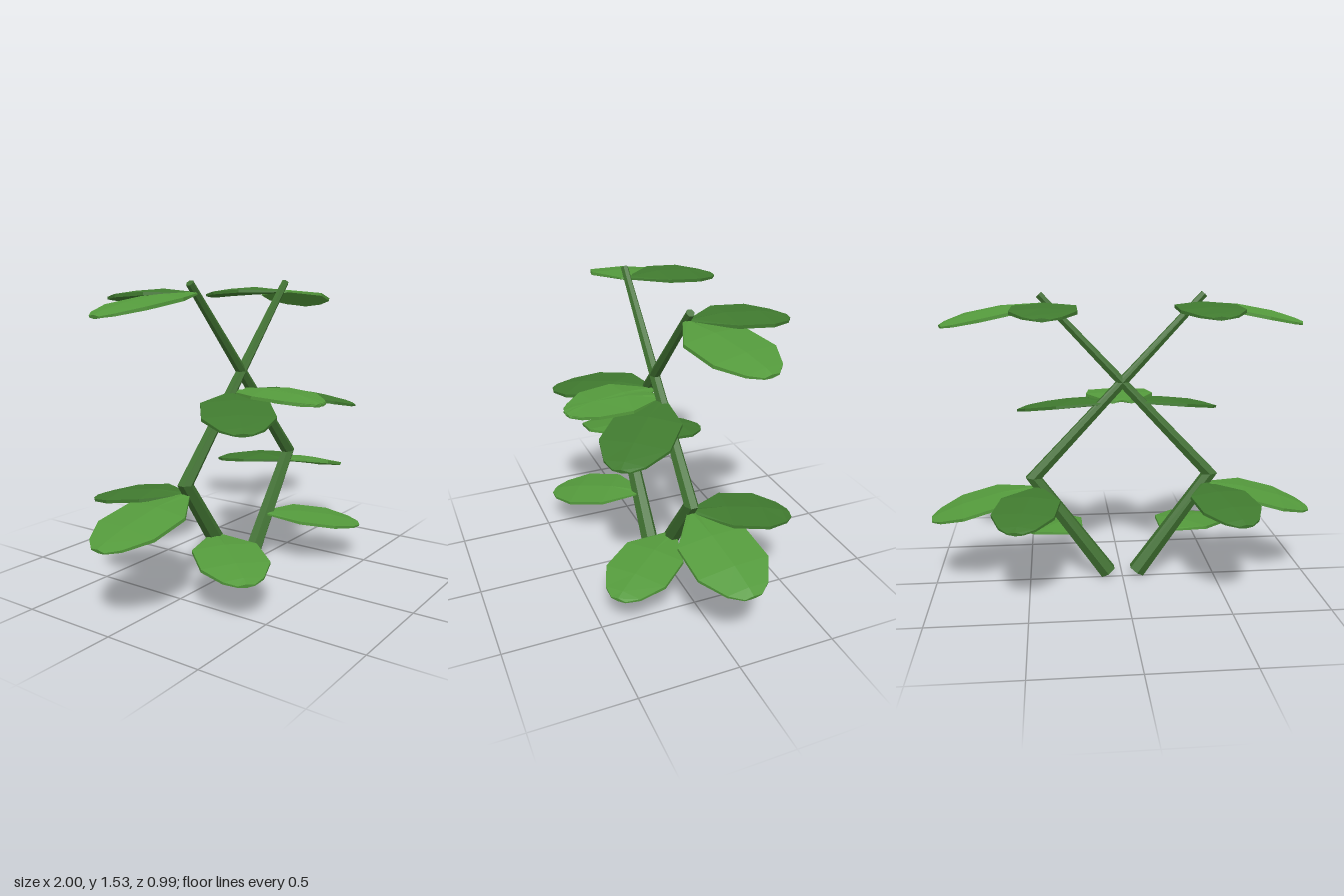
import * as THREE from 'three';

const V = (x, y, z) => new THREE.Vector3(x, y, z);
const green = (color) => new THREE.MeshStandardMaterial({ color, flatShading: true });

// Skin a closed, capped surface over equal-sized rings of points
function loft(rings) {
  const pos = [];
  const tri = (...pts) => pts.forEach((p) => pos.push(p.x, p.y, p.z));
  const n = rings[0].length;
  for (let i = 0; i < rings.length - 1; i++) {
    for (let j = 0; j < n; j++) {
      const k = (j + 1) % n;
      const [a, b, c, d] = [rings[i][j], rings[i][k], rings[i + 1][k], rings[i + 1][j]];
      tri(a, b, c);
      tri(a, c, d);
    }
  }
  const first = rings[0], last = rings[rings.length - 1];
  for (let j = 1; j < n - 1; j++) {
    tri(first[0], first[j + 1], first[j]);
    tri(last[0], last[j], last[j + 1]);
  }
  const geo = new THREE.BufferGeometry();
  geo.setAttribute('position', new THREE.Float32BufferAttribute(pos, 3));
  geo.computeVertexNormals();
  return geo;
}

// Six-sided tapering stem, bent once, with a mitred joint
function stemGeometry(side) {
  const points = [[0.078, 0.032, 0.048], [0.468, 0.58, 0.036], [-0.418, 1.53, 0.02]]
    .map(([x, y, r]) => ({ p: V(side * x, y, 0.016), r }));
  const dirs = [0, 1].map((i) => points[i + 1].p.clone().sub(points[i].p).normalize());
  const tangents = [dirs[0], dirs[0].clone().add(dirs[1]).normalize(), dirs[1]];
  const zAxis = V(0, 0, 1);
  return loft(points.map(({ p, r }, i) => {
    const u = zAxis.clone().cross(tangents[i]);
    const miter = i === 1 ? 1 / tangents[1].dot(dirs[0]) : 1;
    return Array.from({ length: 6 }, (_, j) => {
      const a = Math.PI / 6 + (j * Math.PI) / 3;
      return p.clone().addScaledVector(u, Math.cos(a) * r * miter).addScaledVector(zAxis, Math.sin(a) * r);
    });
  }));
}

// Faceted leaf: [position along leaf, share of width, thickness scale]
const LEAF = [[0, 0.14, 0.5], [0.34, 0.97, 1], [0.7, 1, 1], [0.92, 0.58, 0.75], [1, 0.24, 0.45]];
function leafGeometry(base, tip, width) {
  const d = tip.clone().sub(base).normalize();
  const u = V(0, 1, 0).cross(d).normalize();
  const v = d.clone().cross(u);
  return loft(LEAF.map(([t, w, h]) => {
    const c = base.clone().lerp(tip, t).addScaledVector(v, 0.014 * Math.sin(Math.PI * t));
    const half = (w * width) / 2;
    const section = [[1, -0.008], [1, 0.008], [0, 0.021], [-1, 0.008], [-1, -0.008], [0, -0.021]];
    return section.map(([x, y]) => c.clone().addScaledVector(u, x * half).addScaledVector(v, y * h));
  }));
}

export function createModel() {
  const group = new THREE.Group();
  group.name = 'crossedStemPlant';
  const stemMat = green(0x3f7030);
  const light = green(0x549a3c);
  const dark = green(0x407a2f);

  // Leaves on the +x side: name, base, tip, width, material
  const leaves = [
    ['topBackLeaf', [0.385, 1.48, 0], [0.4, 1.45, -0.48], 0.315, dark],
    ['topOuterLeaf', [0.39, 1.48, 0.02], [0.89, 1.39, -0.13], 0.36, light],
    ['middleOuterLeaf', [0.08, 0.975, 0.01], [0.525, 0.875, 0.39], 0.35, dark],
    ['middleFrontLeaf', [0.05, 0.98, 0.01], [-0.02, 0.95, 0.488], 0.32, light],
    ['bendBackLeaf', [0.445, 0.525, 0], [0.55, 0.46, -0.49], 0.315, dark],
    ['bendOuterLeaf', [0.46, 0.525, 0.01], [0.995, 0.39, -0.05], 0.38, light],
    ['lowerFrontLeaf', [0.23, 0.265, 0.01], [0.555, 0.195, 0.43], 0.34, light],
  ];

  for (const side of [1, -1]) {
    const half = new THREE.Group();
    half.name = side > 0 ? 'leftPlant' : 'rightPlant';

    const stem = new THREE.Mesh(stemGeometry(side), stemMat);
    stem.name = 'stem';
    half.add(stem);

    for (const [name, b, t, width, mat] of leaves) {
      const leaf = new THREE.Mesh(
        leafGeometry(V(side * b[0], b[1], b[2]), V(side * t[0], t[1], t[2]), width), mat);
      leaf.name = name;
      half.add(leaf);
    }
    group.add(half);
  }
  return group;
}
